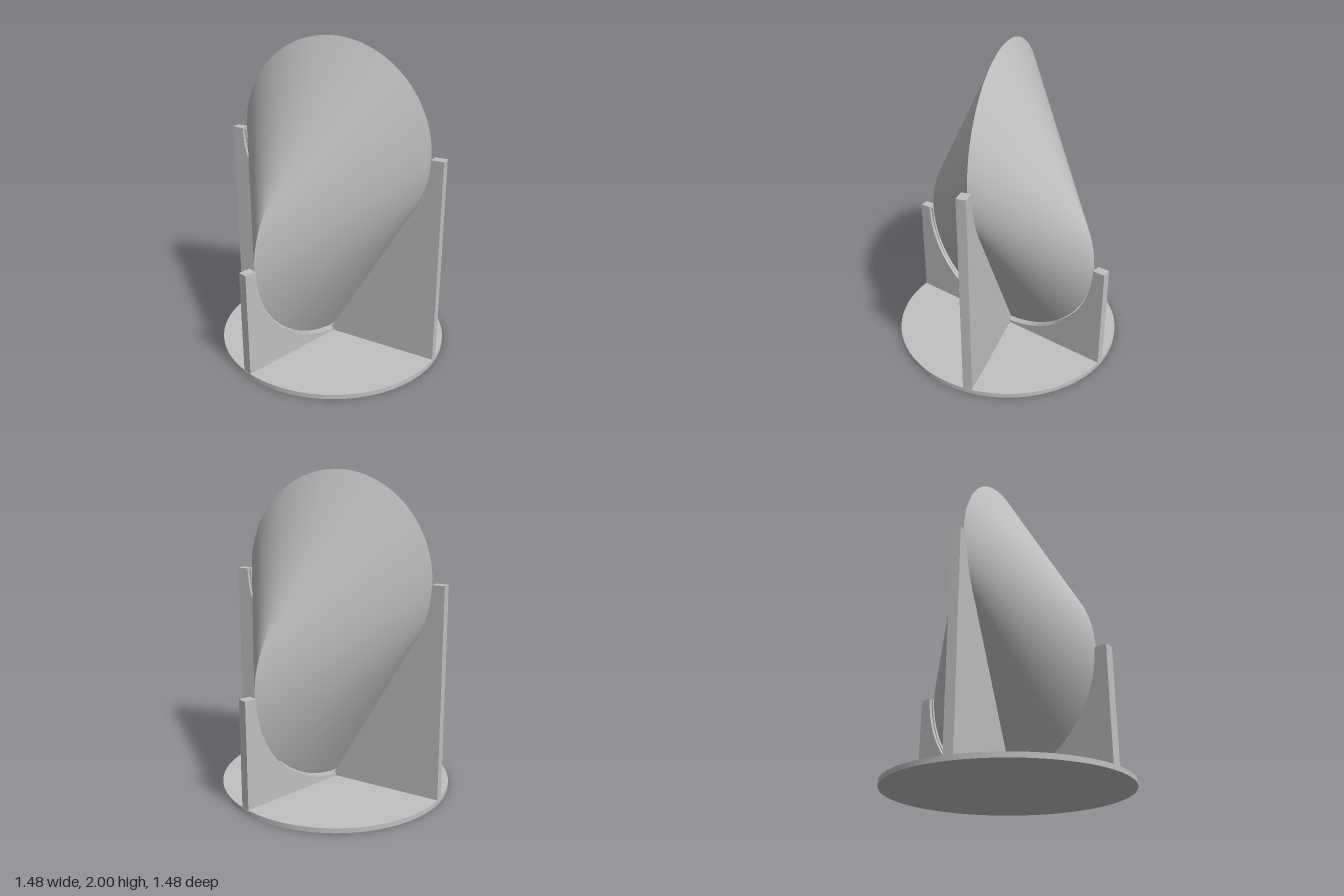
import * as THREE from 'three';

const R = 0.647;                 // radius of both rim circles
const UPPER = 1.353;             // height of the upper circle's centre
const LOWER = UPPER - R;         // height of the lower circle's centre
const MID = (UPPER + LOWER) / 2;
const BASE = 0.03;               // thickness of the base disc
const OUT = 0.735;               // reach of the fins
const TWIST = -1.862;            // turn of the lower circle's plane about y

// Half of the two-circle roller: straight rulings from the upper to the lower rim
function rulledSheet(n = 160) {
  const pos = [], index = [];
  const end = (2 * Math.PI) / 3;
  for (let i = 0; i <= n; i++) {
    const t = end * Math.sin((i / n - 0.5) * Math.PI);
    const c = Math.cos(t);
    const s = R * Math.sqrt(Math.max(0, 1 + 2 * c)) / (1 + c);
    pos.push(R * Math.sin(t), MID + R * (0.5 + c), 0);
    pos.push(s * Math.cos(TWIST), MID + R * (c / (1 + c) - 0.5), -s * Math.sin(TWIST));
    if (i < n) {
      const a = 2 * i;
      index.push(a, a + 1, a + 2, a + 1, a + 3, a + 2);
    }
  }
  const g = new THREE.BufferGeometry();
  g.setAttribute('position', new THREE.Float32BufferAttribute(pos, 3));
  g.setIndex(index);
  g.computeVertexNormals();
  return g;
}

// Upright fin whose inner edge follows a rim arc, set off by a clearance
function finGeometry(centreY, sweep, gap, thick) {
  const s = new THREE.Shape();
  s.moveTo(0, BASE);
  s.lineTo(OUT, BASE);
  s.lineTo(OUT, centreY);
  const n = 32;
  for (let i = 0; i <= n; i++) {
    const a = (sweep * i) / n;
    s.lineTo((R + gap) * Math.cos(a), centreY - (R + gap) * Math.sin(a));
  }
  // straight run down to the axis below a short arc
  if (sweep < 1.5) s.lineTo(0, centreY - 2 * (R + gap));
  const g = new THREE.ExtrudeGeometry(s, { depth: thick, bevelEnabled: false });
  g.translate(0, 0, -thick / 2);
  return g;
}

export function createModel() {
  const grey = new THREE.MeshStandardMaterial({ color: 0xc0c0c0 });
  grey.name = 'plain grey';
  const sheetGrey = grey;
  const model = new THREE.Group();
  model.name = 'rollerOnStand';

  const add = (name, geometry, turn = 0) => {
    const m = new THREE.Mesh(geometry, sheetGrey);
    m.name = name;
    m.rotation.y = turn;
    model.add(m);
  };

  // Base disc
  const disc = new THREE.CylinderGeometry(0.738, 0.738, BASE, 128);
  disc.translate(0, BASE / 2, 0);
  add('baseDisc', disc);

  // Everything else repeats after a half turn
  const sheet = rulledSheet();
  const tallFin = finGeometry(UPPER, Math.PI / 6, 0.012, 0.06);
  const tallRib = finGeometry(UPPER - 0.01, Math.PI / 6, 0.001, 0.02);
  const shortFin = finGeometry(LOWER, Math.PI / 2, 0.012, 0.06);
  const shortRib = finGeometry(LOWER - 0.01, Math.PI / 2, 0.001, 0.02);
  for (const [side, turn] of [['front', 0], ['back', Math.PI]]) {
    add(side + 'RollerSheet', sheet, turn);
    add(side + 'TallFin', tallFin, turn);
    add(side + 'TallSeatRib', tallRib, turn);
    add(side + 'ShortFin', shortFin, turn + TWIST);
    add(side + 'ShortSeatRib', shortRib, turn + TWIST);
  }
  return model;
}
